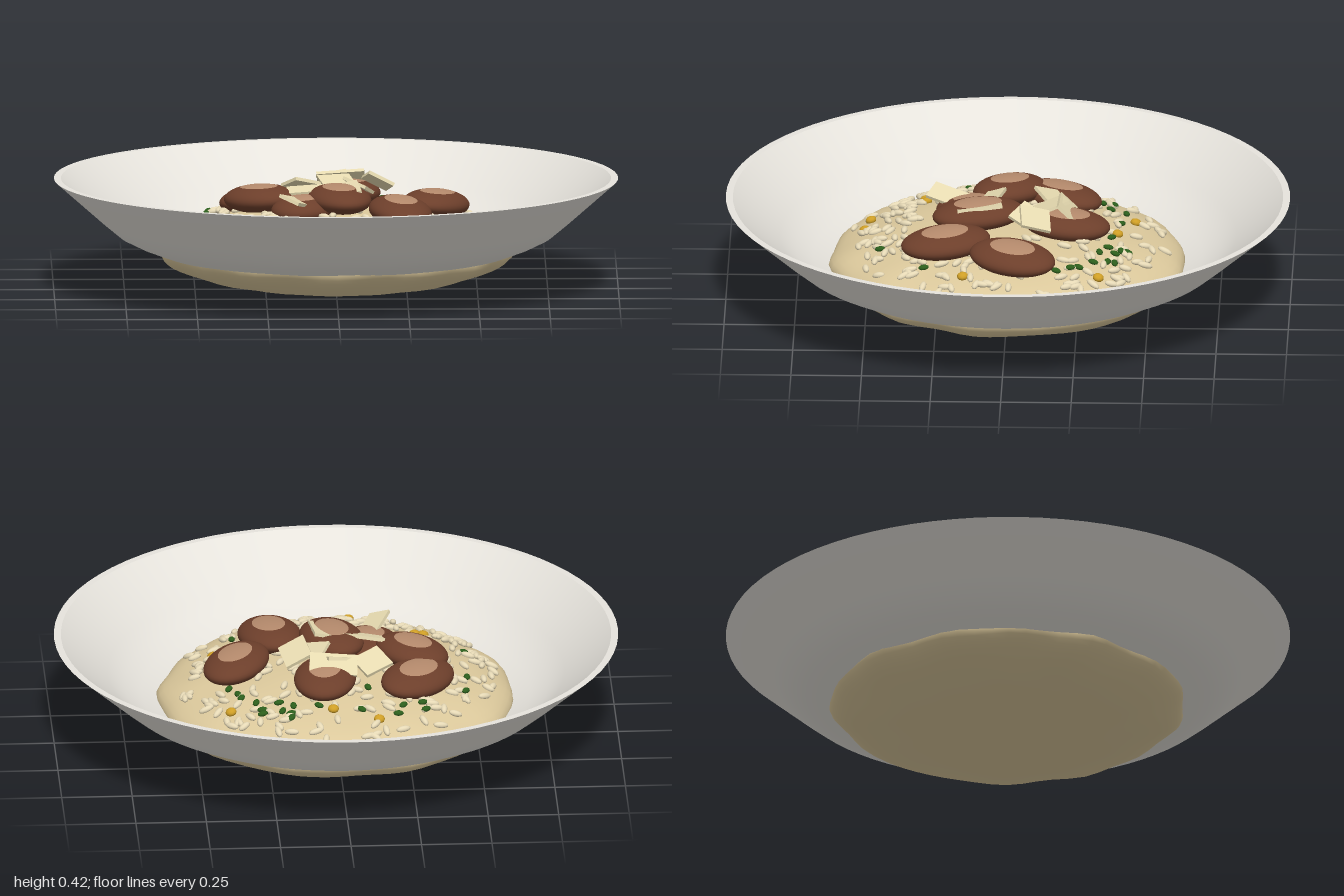
import * as THREE from 'three';
import { mergeGeometries, toCreasedNormals } from 'three/addons/utils/BufferGeometryUtils.js';

const mat = (name, color) => {
  const m = new THREE.MeshStandardMaterial({ color });
  m.name = name;
  return m;
};

// Small seeded generator for scattering
function seeded(seed) {
  return () => {
    seed = (seed * 16807) % 2147483647;
    return seed / 2147483647;
  };
}

// Risotto is a squashed dome; height of its upper surface
const R = 0.63, MID = 0.152, H = 0.15;
const surfaceY = (x, z) => MID + H * Math.sqrt(Math.max(0, 1 - (x * x + z * z) / (R * R)));
const UP = new THREE.Vector3(0, 1, 0);

// Matrix that lays a piece on the dome, turned by angle and leaning with the slope
function onDome(x, z, angle, scale, lift = 0, lean = 1) {
  const y = surfaceY(x, z);
  const normal = new THREE.Vector3(x / (R * R), (y - MID) / (H * H), z / (R * R)).normalize();
  normal.lerp(UP, 1 - lean).normalize();
  const q = new THREE.Quaternion().setFromUnitVectors(UP, normal)
    .multiply(new THREE.Quaternion().setFromAxisAngle(UP, angle));
  return new THREE.Matrix4().compose(new THREE.Vector3(x, y + lift, z), q, new THREE.Vector3(...scale));
}

export function createModel() {
  const group = new THREE.Group();
  const ceramic = mat('ceramic', 0xe6e3dc);
  const cream = mat('risotto cream', 0xdcc99c);
  const riceMat = mat('rice', 0xe6d9b6);
  const brown = mat('mushroom brown', 0x6d3f2b);
  const tan = mat('mushroom centre', 0xb58a6c);
  const cheeseMat = mat('cheese', 0xe6dab0);
  const green = mat('herb green', 0x2c5e1c);
  const gold = mat('golden', 0xcf9f26);

  const add = (name, geometry, material, parent = group) => {
    const mesh = new THREE.Mesh(geometry, material);
    mesh.name = name;
    parent.add(mesh);
    return mesh;
  };

  // Bowl: outer wall up, over the lip, inner wall down
  const profile = [
    [0, 0.06], [0.3, 0.07], [0.5, 0.1], [0.63, 0.14], [0.71, 0.17], [0.77, 0.2], [0.83, 0.25], [1, 0.4],
    [0.975, 0.4], [0.81, 0.26], [0.75, 0.21], [0.69, 0.182], [0.61, 0.15], [0.5, 0.12], [0.3, 0.09], [0, 0.08],
  ].map(([x, y]) => new THREE.Vector2(x, y));
  add('bowl', toCreasedNormals(new THREE.LatheGeometry(profile, 80), 0.6), ceramic);

  // Risotto mound with a softly uneven rim
  const mound = new THREE.SphereGeometry(1, 64, 32);
  const p = mound.attributes.position;
  for (let i = 0; i < p.count; i++) {
    const x = p.getX(i), y = p.getY(i), z = p.getZ(i);
    const a = Math.atan2(z, x), edge = Math.hypot(x, z);
    const w = R * (1 + edge * (0.008 * Math.sin(9 * a + 1) + 0.007 * Math.sin(14 * a + 4 * y)));
    const bump = 0.004 * edge * Math.sin(11 * x + 2) * Math.sin(12 * z);
    p.setXYZ(i, x * w, MID + y * H + bump, z * w);
  }
  mound.computeVertexNormals();
  // Match the normals across the seam
  const n = mound.attributes.normal;
  for (let row = 1; row < 32; row++) {
    const i = row * 65, j = i + 64;
    const v = new THREE.Vector3().fromBufferAttribute(n, i).add(new THREE.Vector3().fromBufferAttribute(n, j)).normalize();
    n.setXYZ(i, v.x, v.y, v.z);
    n.setXYZ(j, v.x, v.y, v.z);
  }
  add('risotto', mound, cream);

  // Mushroom slices: x, z, turn, lift, length
  const mushrooms = [
    [-0.28, -0.18, -0.65, 0.02, 0.165], [-0.27, 0, 0.75, 0.04, 0.145], [0.05, -0.21, -0.12, 0.025, 0.155],
    [0.355, -0.025, -0.42, 0.03, 0.16], [0.225, 0.215, 0.2, 0.03, 0.16], [0.01, 0.105, 0.25, 0.04, 0.165],
    [-0.12, 0.13, -0.3, 0.01, 0.13],
  ];
  const split = 0.55;
  const body = new THREE.SphereGeometry(1, 32, 16, 0, Math.PI * 2, split, Math.PI - split);
  const centre = new THREE.SphereGeometry(1, 32, 6, 0, Math.PI * 2, 0, split);
  for (const [x, z, turn, lift, length] of mushrooms) {
    const slice = new THREE.Group();
    slice.name = 'mushroom';
    onDome(x, z, turn, [0.11, 0.05, length], lift, 0.7).decompose(slice.position, slice.quaternion, slice.scale);
    add('mushroomBody', body, brown, slice);
    add('mushroomCentre', centre, tan, slice);
    group.add(slice);
  }

  // Cheese shavings: x, y, z, tilt x, turn, tilt z, width, depth
  const shavings = [
    [-0.12, 0.355, -0.155, -0.35, 0.6, -0.25, 0.11, 0.1],
    [0.0, 0.372, -0.155, 0.3, 0.3, 0.15, 0.11, 0.11],
    [0.02, 0.37, -0.21, -0.75, -0.1, 0.1, 0.17, 0.08],
    [0.15, 0.375, -0.1, -0.3, 0.25, -0.5, 0.1, 0.11],
    [0.08, 0.365, -0.06, -0.4, -0.5, -0.3, 0.1, 0.07],
    [-0.1, 0.365, 0.055, 0.25, -0.15, 0.1, 0.16, 0.065],
    [0.045, 0.375, 0.1, 0.1, 0.1, 0.2, 0.075, 0.16],
    [-0.14, 0.345, 0.205, -0.2, -0.4, -0.35, 0.08, 0.16],
  ];
  for (const [x, y, z, rx, ry, rz, w, d] of shavings) {
    const flake = add('cheeseShaving', new THREE.BoxGeometry(w, 0.012, d), cheeseMat);
    flake.position.set(x, y, z);
    flake.rotation.set(rx, ry, rz, 'YXZ');
  }

  // Merge many small rounded pieces into one mesh
  const bead = new THREE.SphereGeometry(1, 10, 8);
  const scatter = (name, matrices, material) =>
    add(name, mergeGeometries(matrices.map((m) => bead.clone().applyMatrix4(m))), material);

  // Rice grains, denser toward the front
  const rand = seeded(4217);
  const grains = [];
  while (grains.length < 270) {
    const a = rand() * Math.PI * 2, r = 0.12 + 0.45 * Math.sqrt(rand());
    const x = r * Math.cos(a), z = r * Math.sin(a);
    const turn = rand() * Math.PI;
    if (z < 0.1 && rand() < 0.35) continue;
    grains.push(onDome(x, z, turn, [0.012, 0.011, 0.024 + 0.005 * rand()], 0.006));
  }
  scatter('riceGrains', grains, riceMat);

  // Chopped herbs
  const herbs = [
    [-0.3, -0.37], [-0.29, -0.33], [-0.2, -0.415], [-0.22, -0.36], [0.18, -0.43], [0.18, -0.405], [0.17, -0.36],
    [0.21, -0.385], [0.22, -0.33], [0.28, -0.385], [0.28, -0.36], [0.3, -0.31], [0.35, -0.26], [0.36, -0.23],
    [-0.46, -0.09], [-0.45, -0.2], [-0.46, 0.15], [0.16, 0.45], [0.355, 0.29], [0.39, -0.18], [-0.1, -0.25],
    [-0.07, -0.4], [0.08, -0.37],
  ];
  scatter('herbs', herbs.map(([x, z]) =>
    onDome(x, z, rand() * Math.PI, [0.012, 0.009, 0.019], 0.01)), green);

  // Golden drops
  const drops = [
    [-0.13, -0.45], [0.03, -0.39], [0.39, -0.33], [0.43, 0.15],
    [-0.325, 0.3], [-0.295, 0.295], [-0.17, 0.49], [-0.07, 0.51],
  ];
  scatter('goldenDrops', drops.map(([x, z]) => onDome(x, z, 0, [0.02, 0.014, 0.02], 0.006)), gold);

  return group;
}
